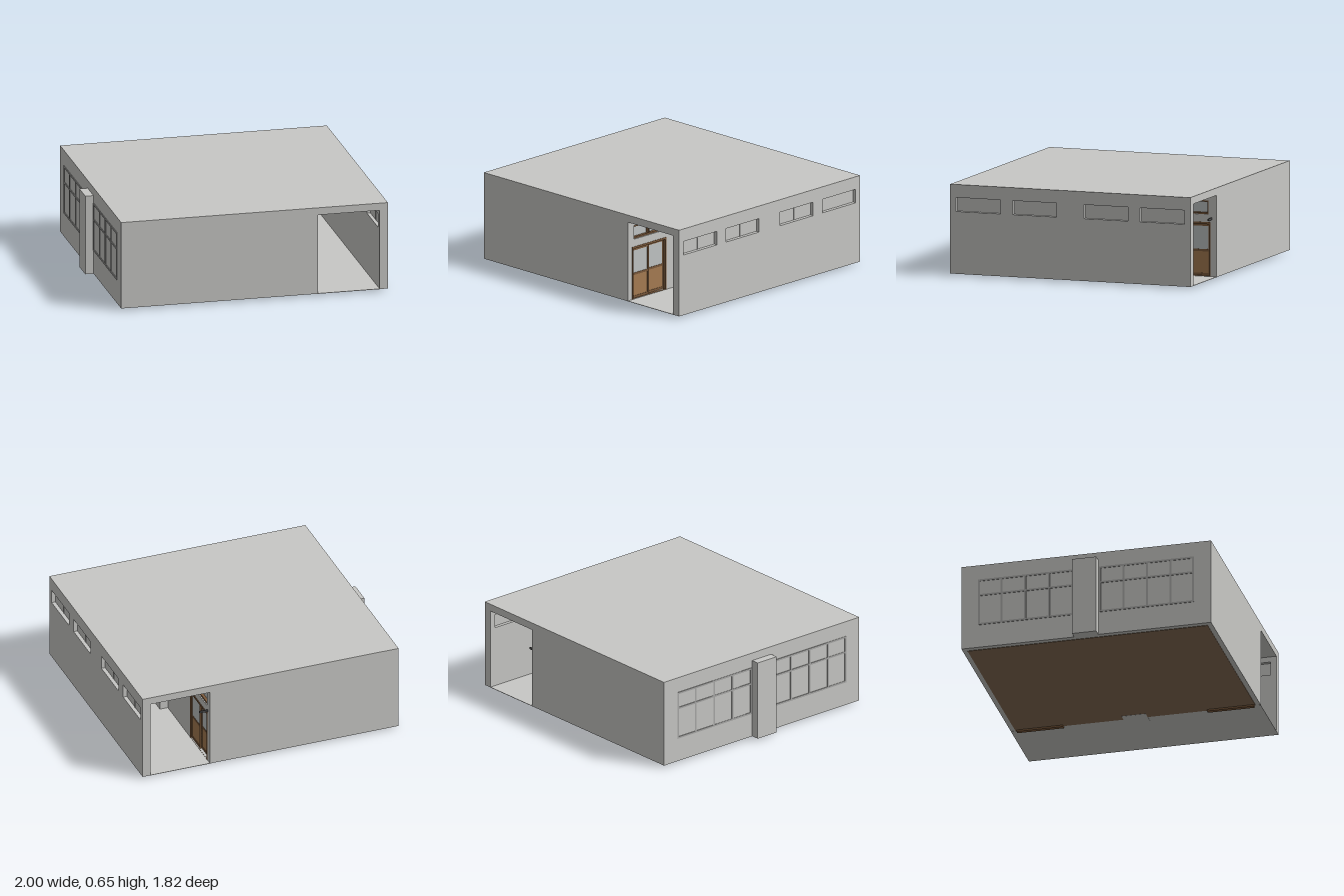
import * as THREE from 'three';

export function createModel() {
  const root = new THREE.Group();
  root.name = 'classroomBlock';

  const mat = (name, color) => {
    const m = new THREE.MeshStandardMaterial({ color });
    m.name = name;
    return m;
  };
  const concrete = mat('concrete', 0xc8c8c5);
  const frameGrey = mat('frameGrey', 0xa8a8a6);
  const glass = mat('paleGlass', 0xc0c4c4);
  const floorWood = mat('floorWood', 0x866c54);
  const frameWood = mat('frameWood', 0x7c5a3c);
  const panelWood = mat('panelWood', 0xa67c52);
  const darkMetal = mat('darkMetal', 0x4a4a4a);

  // Box given by its minimum and maximum on each axis
  const box = (name, m, [x0, x1], [y0, y1], [z0, z1], parent = root) => {
    const mesh = new THREE.Mesh(new THREE.BoxGeometry(x1 - x0, y1 - y0, z1 - z0), m);
    mesh.position.set((x0 + x1) / 2, (y0 + y1) / 2, (z0 + z1) / 2);
    mesh.name = name;
    parent.add(mesh);
    return mesh;
  };

  // Wall running along z with rectangular holes [z0, z1, y0, y1]
  const rect = (p, a, b, c, d) => {
    p.moveTo(a, c);
    p.lineTo(b, c);
    p.lineTo(b, d);
    p.lineTo(a, d);
    p.closePath();
    return p;
  };
  const wallAlongZ = (name, x0, x1, zEnd, top, holes) => {
    const shape = rect(new THREE.Shape(), -zEnd, zEnd, BASE, top);
    for (const [z0, z1, y0, y1] of holes) shape.holes.push(rect(new THREE.Path(), -z1, -z0, y0, y1));
    const geo = new THREE.ExtrudeGeometry(shape, { depth: x1 - x0, bevelEnabled: false });
    geo.rotateY(Math.PI / 2);
    const mesh = new THREE.Mesh(geo, concrete);
    mesh.position.x = x0;
    mesh.name = name;
    root.add(mesh);
  };

  // Grid of bars in a plane of constant x
  const grid = (name, m, xs, zs, ys, w) => {
    const g = new THREE.Group();
    g.name = name;
    const h = w / 2;
    const [za, zb] = [zs[0], zs[zs.length - 1]];
    const [ya, yb] = [ys[0], ys[ys.length - 1]];
    for (const z of zs) box('upright', m, xs, [ya - h, yb + h], [z - h, z + h], g);
    for (const y of ys) box('rail', m, xs, [y - h, y + h], [za - h, zb + h], g);
    root.add(g);
    return g;
  };

  const BASE = 0.015, CEIL = 0.6, TOP = 0.653, END = 0.91, INNER = 0.86;
  const highWindows = [[-0.865, -0.53], [-0.437, -0.105], [0.105, 0.437], [0.53, 0.865]];
  const highHoles = highWindows.map(([a, b]) => [a, b, 0.46, 0.56]);
  const doorways = [[-0.86, -0.53], [0.53, 0.86]];

  // Roof, floors and end walls
  box('roof', concrete, [-0.94, 1], [CEIL, TOP], [-END, END]);
  box('classroomFloor', floorWood, [-0.9, 0.48], [0.012, 0.018], [-0.875, 0.875]);
  box('corridorFloor', concrete, [0.48, 0.945], [0.014, 0.017], [-END, END]);
  for (const s of [-1, 1]) {
    const zs = s > 0 ? [INNER, END] : [-END, -INNER];
    box('endWall', concrete, [-0.94, 0.49], [BASE, CEIL], zs);
  }

  // Long walls
  wallAlongZ('corridorOuterWall', 0.94, 1, END, CEIL, highHoles);
  wallAlongZ('corridorInnerWall', 0.43, 0.49, INNER, CEIL, [
    ...highHoles.map(([a, b, c, d]) => [Math.max(a, -0.85), Math.min(b, 0.85), c, d]),
    ...doorways.map(([a, b]) => [a + 0.005, b - 0.005, 0.02, 0.4]),
  ]);
  box('windowWall', concrete, [-0.94, -0.88], [BASE, CEIL], [-INNER, INNER]);

  // Pillars on the window side and in the corridor
  box('outerPillar', concrete, [-1, -0.87], [BASE, 0.595], [-0.088, 0.088]);
  box('corridorPillar', concrete, [0.42, 0.55], [0.011, CEIL], [-0.088, 0.088]);

  // High windows, recessed in both corridor walls
  for (const [z0, z1] of highWindows) {
    const mid = (z0 + z1) / 2;
    box('highPane', concrete, [0.965, 0.972], [0.46, 0.56], [z0, z1]);
    box('highMullion', concrete, [0.962, 0.976], [0.46, 0.56], [mid - 0.004, mid + 0.004]);
    const a = Math.max(z0, -0.85) + 0.005, b = Math.min(z1, 0.85) - 0.005;
    box('transomPane', glass, [0.455, 0.461], [0.46, 0.56], [a, b]);
    grid('transomFrame', frameWood, [0.45, 0.482], [a, (a + b) / 2, b], [0.466, 0.554], 0.012);
  }

  // Pairs of sliding doors with their tracks
  for (const [z0, z1] of doorways) {
    const mid = (z0 + z1) / 2;
    box('doorTrack', frameWood, [0.46, 0.49], [0, 0.02], [z0 - 0.005, z1 + 0.005]);
    box('doorHead', frameWood, [0.435, 0.493], [0.39, 0.405], [z0, z1]);
    for (const z of [z0, z1]) box('doorJamb', frameWood, [0.435, 0.493], [0.018, 0.405], [z - 0.006, z + 0.006]);
    [[z0, mid + 0.006, 0.462], [mid - 0.006, z1, 0.474]].forEach(([a, b, x]) => {
      box('doorPanel', panelWood, [x, x + 0.006], [0.02, 0.2], [a, b]);
      box('doorGlass', glass, [x, x + 0.006], [0.2, 0.39], [a, b]);
      grid('doorFrame', frameWood, [x - 0.002, x + 0.009], [a + 0.008, b - 0.008], [0.03, 0.2, 0.382], 0.016);
    });
  }

  // Large windows on the classroom side
  for (const s of [-1, 1]) {
    const zs = [0.1, 0.272, 0.444, 0.616, 0.78].map((z) => z * s);
    if (s < 0) zs.reverse();
    grid('largeWindowFrame', frameGrey, [-0.944, -0.935], zs, [0.195, 0.42, 0.535], 0.014);
  }

  // Corridor ceiling lamps
  for (const z of [-0.45, 0.45]) {
    box('lampBody', concrete, [0.705, 0.73], [0.59, 0.602], [z - 0.15, z + 0.15]);
    for (const x of [0.698, 0.737]) box('lampTube', frameGrey, [x - 0.005, x + 0.005], [0.585, 0.595], [z - 0.15, z + 0.15]);
    box('lampTray', concrete, [0.695, 0.74], [0.594, 0.598], [z - 0.15, z + 0.15]);
  }

  // Small bracket on the corridor wall
  box('wallBracket', darkMetal, [0.485, 0.555], [0.422, 0.438], [-0.875, -0.868]);

  return root;
}
